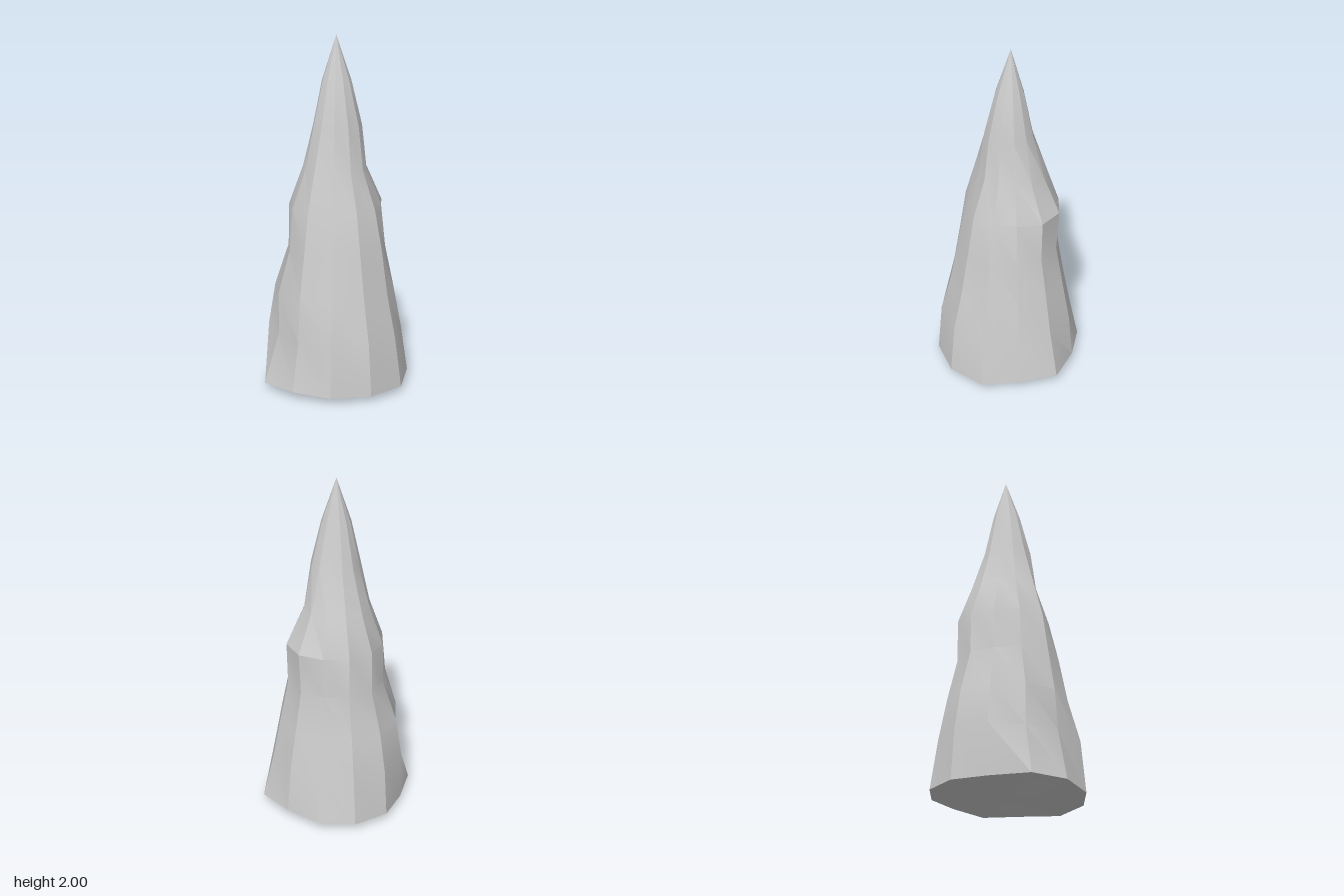
import * as THREE from 'three';
import { toCreasedNormals } from 'three/addons/utils/BufferGeometryUtils.js';

const SIDES = 12;
const CENTER = { x: -0.01, z: -0.015 };

// Ring heights, and the radius of every ring towards +x, +z, -x and -z
const HEIGHTS = [0.03, 0.32, 0.56, 0.8, 1.04, 1.26, 1.5, 1.75];
const PROFILES = [
  [0.415, 0.375, 0.33, 0.28, 0.255, 0.17, 0.145, 0.085],
  [0.44, 0.415, 0.35, 0.305, 0.25, 0.18, 0.148, 0.085],
  [0.395, 0.395, 0.355, 0.275, 0.27, 0.19, 0.13, 0.08],
  [0.413, 0.355, 0.31, 0.27, 0.275, 0.2, 0.12, 0.07],
];
// Uneven rim of the foot
const RIM = [0.05, 0.03, 0.03, 0.03, 0.04, 0.03, 0.03, 0.035, 0.04, 0.05, 0.055, 0.05];
// Local bumps and dents: column -> ring -> radius
const BUMPS = {
  1: { 0: 0.445, 3: 0.31 },
  4: { 1: 0.38, 3: 0.32, 4: 0.28, 5: 0.215 },
  5: { 0: 0.455, 1: 0.365 },
  10: { 0: 0.4, 4: 0.295 },
  11: { 0: 0.445, 4: 0.29 },
};

// Radius of one column on one ring, blended between neighbouring profiles
function radius(col, ring) {
  const bump = BUMPS[col]?.[ring];
  if (bump) return bump;
  const quarter = Math.floor(col / 3), t = (col % 3) / 3;
  const r = THREE.MathUtils.lerp(PROFILES[quarter][ring], PROFILES[(quarter + 1) % 4][ring], t);
  return t > 0 ? r * 1.03 : r;
}

function point(col, r, y) {
  const a = (col / SIDES) * Math.PI * 2;
  return [CENTER.x + r * Math.cos(a), y, CENTER.z + r * Math.sin(a)];
}

function rockGeometry() {
  const rings = [];
  const ring = (f) => rings.push(Array.from({ length: SIDES }, (_, c) => f(c)));
  // Underside: centre, inner ring with two low points, then the walls up to the tip
  ring((c) => point(c, 0, 0.035));
  ring((c) => point(c, 0.2, c === 0 || c === 4 ? 0 : 0.035));
  HEIGHTS.forEach((y, i) => ring((c) => point(c, radius(c, i), i === 0 ? RIM[c] : y)));
  ring((c) => point(c, 0, 2));

  const positions = [];
  for (let i = 0; i < rings.length - 1; i++) {
    for (let c = 0; c < SIDES; c++) {
      const n = (c + 1) % SIDES;
      const a = rings[i][c], b = rings[i][n], d = rings[i + 1][c], e = rings[i + 1][n];
      if (i > 0) positions.push(...a, ...e, ...b);
      if (i < rings.length - 2) positions.push(...a, ...d, ...e);
    }
  }
  // Close the tip
  const last = rings.length - 2;
  for (let c = 0; c < SIDES; c++) {
    const k = positions.length - (SIDES - c) * 9;
    positions.splice(k, 9, ...rings[last][c], ...rings[last + 1][c], ...rings[last][(c + 1) % SIDES]);
  }
  const geometry = new THREE.BufferGeometry();
  geometry.setAttribute('position', new THREE.Float32BufferAttribute(positions, 3));
  return toCreasedNormals(geometry, 0.4);
}

export function createModel() {
  const group = new THREE.Group();
  group.name = 'rockSpire';
  const spire = new THREE.Mesh(rockGeometry(), new THREE.MeshStandardMaterial({ color: 0xcccccc }));
  spire.name = 'spire';
  group.add(spire);
  return group;
}
